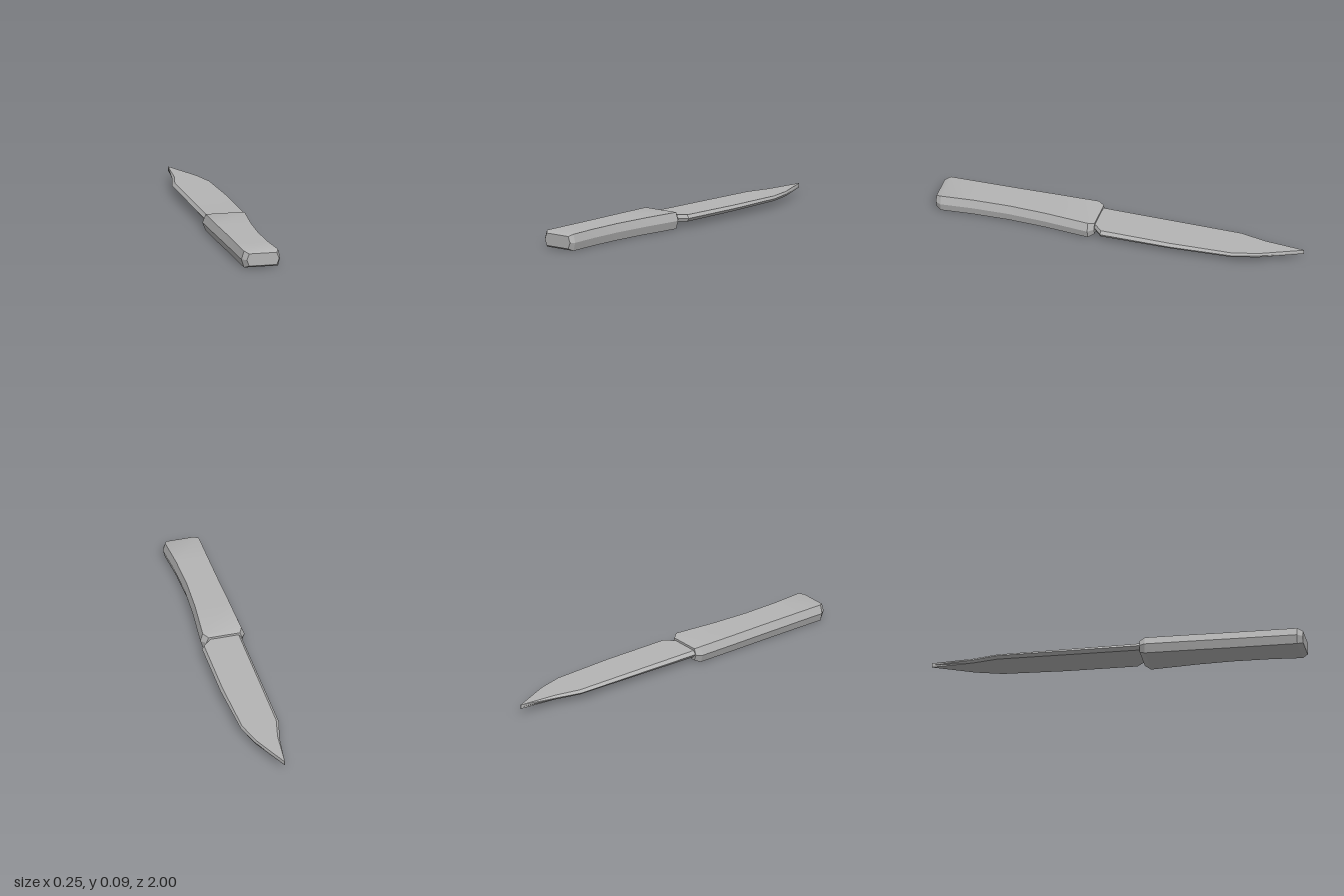
import * as THREE from 'three';
import { toCreasedNormals } from 'three/addons/utils/BufferGeometryUtils.js';

// Loft of six-sided sections, listed from +z to -z:
// [z, left x, right x, left bevel, right bevel, bottom y, top y]
function loft(sections) {
  const pos = [], idx = [], n = 6, last = (sections.length - 1) * n;
  for (const [z, l, r, bl, br, y0, y1] of sections) {
    const m = (y0 + y1) / 2;
    pos.push(r, m, z, r - br, y1, z, l + bl, y1, z, l, m, z, l + bl, y0, z, r - br, y0, z);
  }
  for (let s = 0; s < last; s += n) {
    for (let j = 0; j < n; j++) {
      const a = s + j, b = s + (j + 1) % n;
      idx.push(a, a + n, b, b, a + n, b + n);
    }
  }
  for (let j = 1; j < n - 1; j++) { // end caps
    idx.push(0, j, j + 1, last, last + j + 1, last + j);
  }
  const g = new THREE.BufferGeometry();
  g.setAttribute('position', new THREE.Float32BufferAttribute(pos, 3));
  g.setIndex(idx);
  return toCreasedNormals(g, Math.PI / 9);
}

export function createModel() {
  const group = new THREE.Group();
  const grey = new THREE.MeshStandardMaterial({ color: 0xb4b4b4 });
  grey.name = 'grey';
  const add = (name, sections) => {
    const mesh = new THREE.Mesh(loft(sections), grey);
    mesh.name = name;
    group.add(mesh);
  };

  // Grip with chamfered ends and a gently hollowed right edge
  add('handle', [
    [1.0, -0.09, 0.086, 0.013, 0.013, 0.013, 0.08],
    [0.972, -0.113, 0.098, 0.014, 0.012, 0, 0.09],
    [0.8, -0.116, 0.084, 0.015, 0.012, 0, 0.09],
    [0.6, -0.12, 0.079, 0.016, 0.012, 0, 0.09],
    [0.4, -0.125, 0.089, 0.016, 0.013, 0, 0.09],
    [0.155, -0.13, 0.113, 0.017, 0.014, 0, 0.09],
    [0.125, -0.11, 0.088, 0.013, 0.013, 0.013, 0.08],
  ]);

  // Flat blade with bevelled spine and cutting edge, notched at the heel
  add('blade', [
    [0.14, -0.105, 0.065, 0.015, 0.01, 0.03, 0.068],
    [0.125, -0.105, 0.075, 0.015, 0.01, 0.03, 0.068],
    [0.08, -0.105, 0.124, 0.015, 0.012, 0.03, 0.067],
    [-0.3, -0.105, 0.125, 0.015, 0.012, 0.032, 0.064],
    [-0.64, -0.105, 0.106, 0.015, 0.008, 0.034, 0.061],
    [-0.78, -0.071, 0.066, 0.011, 0.006, 0.035, 0.06],
    [-1.0, -0.042, -0.038, 0.001, 0.001, 0.036, 0.059],
  ]);
  return group;
}
